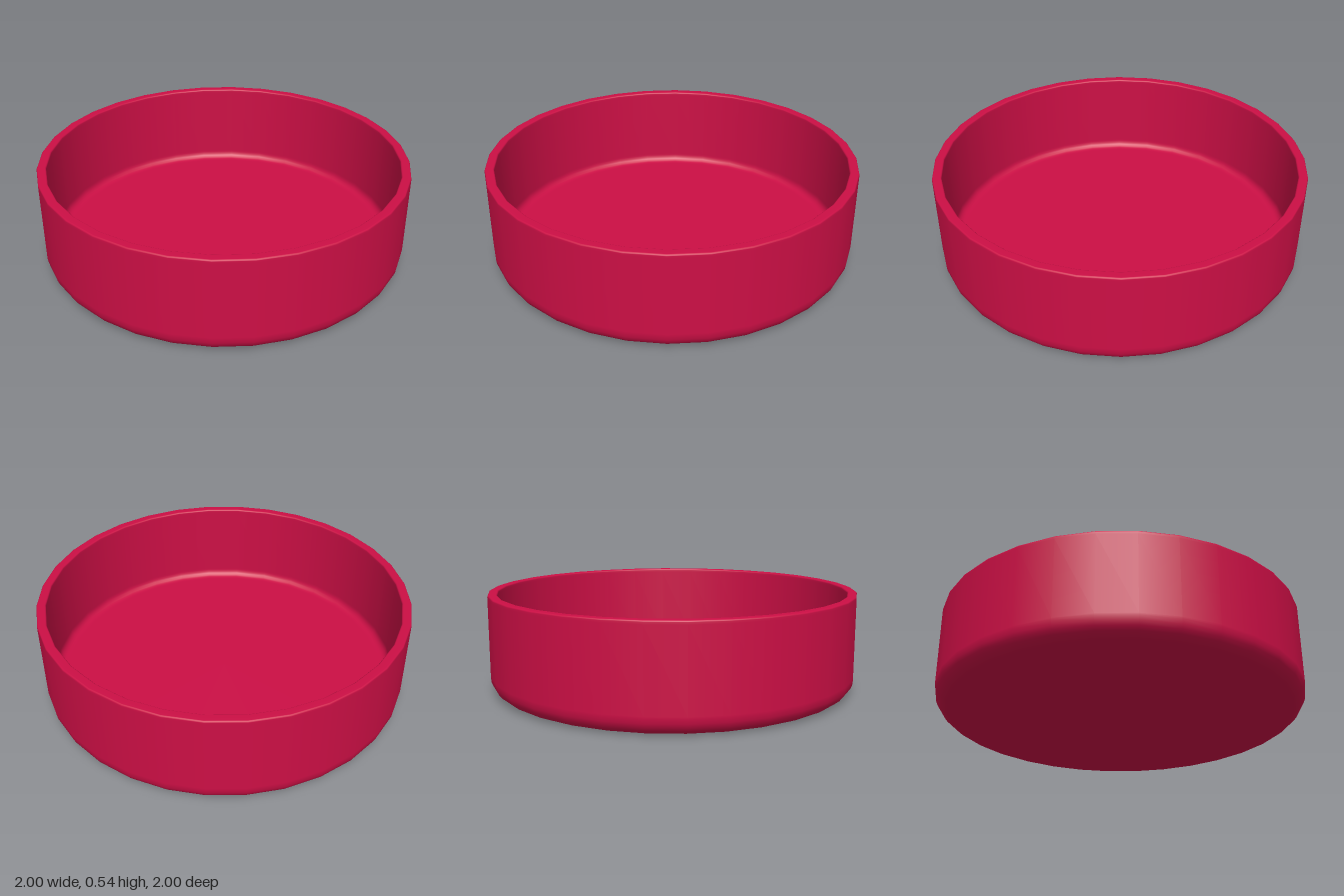
import * as THREE from 'three';

const HEIGHT = 0.535;
const WALL = 0.05;
const SIDES = 32;

// Points of a rounded corner, angles in quarter turns
function corner(cx, cy, r, from, to, steps) {
  return Array.from({ length: steps + 1 }, (_, i) => {
    const a = (from + ((to - from) * i) / steps) * Math.PI / 2;
    return new THREE.Vector2(cx + r * Math.cos(a), cy + r * Math.sin(a));
  });
}

export function createModel() {
  const group = new THREE.Group();
  group.name = 'roundTray';

  const outer = 0.09; // radius of the outer bottom edge
  const inner = 0.04; // radius of the inner floor edge
  const lip = 0.008; // softening of the rim edges

  // Half section: underside, outer wall, rim, inner wall, floor
  const profile = [
    new THREE.Vector2(0, 0),
    new THREE.Vector2(1 - outer - 0.01, 0),
    ...corner(1 - outer, outer, outer, -1, 0, 6),
    new THREE.Vector2(1, outer + 0.01),
    new THREE.Vector2(1, HEIGHT - lip - 0.01),
    ...corner(1 - lip, HEIGHT - lip, lip, 0, 1, 3),
    ...corner(1 - WALL + lip, HEIGHT - lip, lip, 1, 2, 3),
    new THREE.Vector2(1 - WALL, HEIGHT - lip - 0.01),
    new THREE.Vector2(1 - WALL, WALL + inner + 0.01),
    ...corner(1 - WALL - inner, WALL + inner, inner, 0, -1, 5),
    new THREE.Vector2(1 - WALL - inner - 0.01, WALL),
    new THREE.Vector2(0, WALL),
  ];

  const dish = new THREE.Mesh(
    new THREE.LatheGeometry(profile, SIDES),
    new THREE.MeshStandardMaterial({ color: 0xcc0f45 })
  );
  dish.name = 'dish';
  group.add(dish);
  return group;
}
